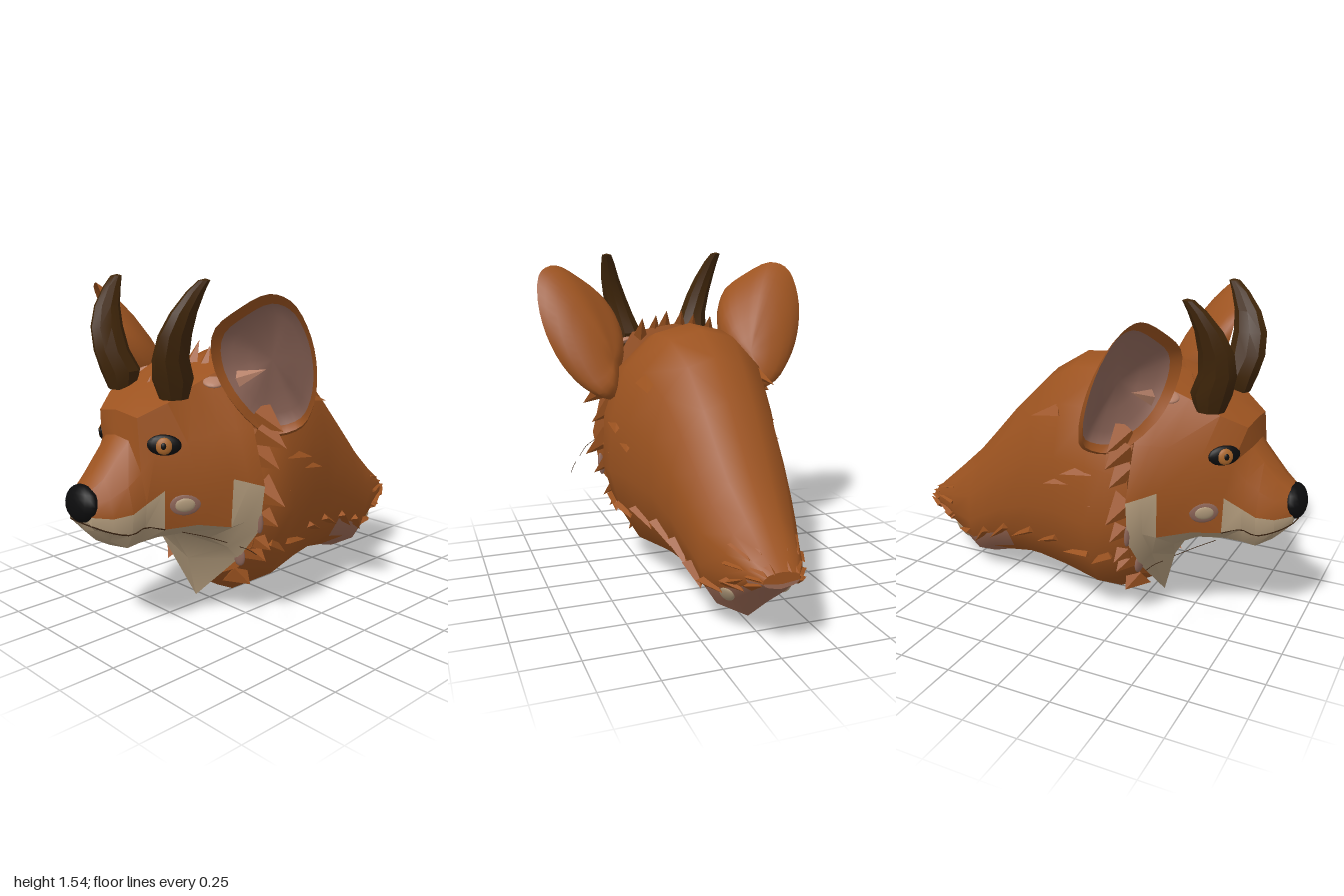
import * as THREE from 'three';
import { toCreasedNormals } from 'three/addons/utils/BufferGeometryUtils.js';

const V = (p) => new THREE.Vector3(...p);
const mat = (name, color) => {
  const m = new THREE.MeshStandardMaterial({ color });
  m.name = name;
  return m;
};

export function createModel() {
  const model = new THREE.Group();
  model.name = 'hornedFoxHead';
  const fur = mat('rust fur', 0x9c5320);
  const cream = mat('cream fur', 0xb29b7c);
  const pink = mat('ear pink', 0x90685b);
  const flesh = mat('raw flesh', 0x9c6a55);
  const light = mat('pale pink', 0xb58068);
  const horn = mat('horn brown', 0x40260a);
  const black = mat('black', 0x0c0c0d);
  const amber = mat('amber eye', 0xa8652a);
  const dark = mat('dark brown', 0x35200f);

  // Closed skin through rings of points; pick(row, column) gives the material
  function skin(name, rings, pick, crease) {
    const n = rings[0].length, pos = rings.flat(2), buckets = new Map();
    const same = (a, b) => [0, 1, 2].every((k) => pos[a * 3 + k] === pos[b * 3 + k]);
    for (let i = 0; i < rings.length - 1; i++) for (let j = 0; j < n; j++) {
      const a = i * n + j, b = i * n + (j + 1) % n, c = b + n, d = a + n;
      const m = pick(i, j);
      if (!buckets.has(m)) buckets.set(m, []);
      if (!same(a, b)) buckets.get(m).push(a, b, d);
      if (!same(c, d)) buckets.get(m).push(b, c, d);
    }
    const geo = new THREE.BufferGeometry(), index = [], mats = [];
    for (const [m, list] of buckets) {
      geo.addGroup(index.length, list.length, mats.length);
      mats.push(m);
      index.push(...list);
    }
    geo.setAttribute('position', new THREE.Float32BufferAttribute(pos, 3));
    geo.setIndex(index);
    const mesh = new THREE.Mesh(toCreasedNormals(geo, crease), mats);
    mesh.name = name;
    return mesh;
  }
  const flip = ([x, y, z]) => [-x, y, z];
  // Full ring from its left half, top centre to bottom centre
  const mirror = (half) => [...half, ...half.slice(1, -1).reverse().map(flip)];
  const halfColumn = (j, n) => (j < n - 1 ? j : 2 * n - 3 - j);
  const point = (p, n) => Array(n).fill(p);

  // Pointed, faceted lock of fur
  function tuft(parent, base, tip, width, m = fur) {
    const dir = V(tip).sub(V(base)), len = dir.length();
    const geo = new THREE.ConeGeometry(width, len, 4).translate(0, len / 2, 0).scale(1, 1, 0.5);
    const mesh = new THREE.Mesh(toCreasedNormals(geo, 0.1), m);
    mesh.quaternion.setFromUnitVectors(new THREE.Vector3(0, 1, 0), dir.normalize());
    mesh.position.set(...base);
    mesh.name = 'furTuft';
    parent.add(mesh);
  }
  function oval(parent, name, at, facing, size, m) {
    const mesh = new THREE.Mesh(new THREE.SphereGeometry(1, 16, 10), m);
    mesh.scale.set(...size);
    mesh.position.set(...at);
    mesh.quaternion.setFromUnitVectors(new THREE.Vector3(0, 0, 1), V(facing).normalize());
    mesh.name = name;
    parent.add(mesh);
  }
  function strand(parent, name, pts, r) {
    const curve = new THREE.CatmullRomCurve3(pts.map(V));
    const mesh = new THREE.Mesh(new THREE.TubeGeometry(curve, 24, r, 4), dark);
    mesh.name = name;
    parent.add(mesh);
  }

  // Neck: z, top, bottom, half width of each section
  const section = [[0, 1], [.42, .965], [.78, .84], [.97, .64], [1, .42], [.88, .26], [.65, .13], [0, 0]];
  const neckRings = [
    [.3, 1.1, .11, .39], [.2, 1.19, .05, .42], [.1, 1.22, 0, .41], [-.08, 1.205, .04, .375],
    [-.25, 1.1, .06, .315], [-.42, .93, .08, .28], [-.56, .77, .06, .25], [-.66, .66, .03, .225],
    [-.8, .53, .14, .17], [-.92, .42, .25, .125], [-.985, .36, .29, .08],
  ].map(([z, t, b, w]) => mirror(section.map(([fx, fy]) => [fx * w, b + fy * (t - b), z])));
  const neckPick = (i, j) => {
    const c = halfColumn(j, 8);
    return (c === 5 && i >= 6) || (c > 4 && i >= 7) || (c === 4 && i >= 10) ? flesh : fur;
  };
  model.add(skin('neck', [point([0, .7, .28], 14), ...neckRings, point([0, .31, -.985], 14)], neckPick, 0.7));

  // Head and throat: z, top, jaw, chin, chin z, brow width, cheek width, backward sweep
  const headHalves = [
    [.965, .69, .52, .51, .94, .05, .085, .003],
    [.9, .745, .47, .455, .89, .07, .145, .003],
    [.83, .83, .43, .415, .82, .075, .18, .006],
    [.775, .895, .44, .42, .76, .08, .19, .01],
    [.765, 1, .45, .43, .68, .13, .22, .055],
    [.66, 1.06, .46, .45, .58, .2, .31, .06],
    [.52, 1.12, .42, .4, .48, .2, .37, .06],
    [.43, 1.16, .36, .24, .385, .21, .41, .035],
    [.35, 1.19, .3, .04, .337, .22, .44, .022],
  ].map(([z, top, jaw, chin, chinZ, brow, cheek, sweep]) => {
    const y = (f) => jaw + f * (top - jaw);
    // Cheeks hang lower than the lip
    const lipY = y(sweep > .04 ? .09 : .18);
    return [
      [0, top, z], [brow, y(.965), z - .012], [cheek * .86, y(.69), z - sweep], [cheek, y(.41), z - sweep * 1.4],
      [cheek * .92, lipY, z - sweep * 1.6], [cheek * .65, jaw, chinZ - .008], [0, chin, chinZ],
    ];
  });
  const headPick = (i, j) => {
    const c = halfColumn(j, 7);
    if (c < 3 || i === headHalves.length) return fur;
    return c === 3 && i >= 5 && i <= 6 ? fur : cream;
  };
  const headRings = [point([0, .6, .97], 12), ...headHalves.map(mirror), point([0, .7, .2], 12)];
  model.add(skin('head', headRings, headPick, 0.5));

  // Nose and mouth line
  oval(model, 'nose', [0, .632, .95], [0, .15, 1], [.1, .08, .05], black);
  const lip = headHalves.slice(0, 5).map((half) => half[4]);
  strand(model, 'mouth', [...lip.map(flip).reverse(), ...lip], .003);

  // Ear: rim loop, cupped toward the front, the back flowing into the skull
  const rim = new THREE.CatmullRomCurve3([
    [.36, 1.02, .42], [.31, 1.18, .49], [.34, 1.33, .52], [.46, 1.43, .49], [.58, 1.49, .44], [.66, 1.46, .4],
    [.69, 1.34, .33], [.67, 1.18, .26], [.6, 1.02, .2], [.5, .91, .17], [.41, .88, .26],
  ].map(V), true).getPoints(36).slice(0, -1);
  const inner = { centre: V([.49, 1.23, .365]), push: V([-.04, -.02, -.075]) };
  const outer = { centre: V([.5, 1.17, .34]), push: V([-.14, -.12, -.165]) };
  const earRing = ({ centre, push }, s) => rim.map((p) =>
    centre.clone().lerp(p, s).addScaledVector(push, Math.sqrt(1 - s * s)).toArray());
  const earRings = [
    ...[0, .4, .7, .88, 1].map((s) => earRing(inner, s)),
    ...[.98, .9, .75, .5, .25, 0].map((s) => earRing(outer, s)),
  ];

  // Horn: x, y, z, half width, half depth
  const hornRings = [
    [.18, 1.05, .595, .06, .065], [.183, 1.13, .6, .083, .092], [.205, 1.22, .63, .067, .084], [.235, 1.32, .63, .057, .078],
    [.262, 1.41, .605, .046, .062], [.283, 1.49, .56, .034, .042], [.297, 1.535, .525, .024, .026],
  ].map(([x, y, z, rx, rz]) => Array.from({ length: 9 }, (_, k) => {
    const a = k / 9 * Math.PI * 2;
    return [x + rx * Math.sin(a), y, z + rz * Math.cos(a)];
  }));
  hornRings.unshift(point([.18, 1.04, .595], 9));
  hornRings.push(point([.298, 1.542, .52], 9));

  // Tips of the ruff locks (x, y), crown locks and flank locks (x, y, z)
  const ruff = [[.48, .9], [.5, .83], [.46, .73], [.495, .57], [.455, .47], [.41, .35], [.38, .29], [.28, .15]];
  const crown = [[.04, 1.26, .33], [.1, 1.24, .32], [.18, 1.23, .29], [.06, 1.18, .46], [.02, 1.12, .56]];
  const flank = [[.41, .73, -.02], [.385, .66, -.12], [.31, .95, -.22], [.41, .6, .12]];

  for (const side of [1, -1]) {
    const g = new THREE.Group();
    g.name = side > 0 ? 'leftSide' : 'rightSide';
    g.scale.x = side;
    g.add(skin('ear', earRings, (i) => (i < 3 ? pink : fur), 0.9));
    tuft(g, [.36, 1.13, .4], [.49, 1.18, .365], .035, light);
    oval(g, 'earRoot', [.24, 1.105, .43], [.3, 1, .2], [.045, .045, .015], light);
    g.add(skin('horn', hornRings, () => horn, 0.5));

    // Eye and cheek spot
    const look = [.76, .13, .63], cheekwards = [.81, -.12, .58];
    oval(g, 'eye', [.207, .868, .677], look, [.073, .044, .02], black);
    oval(g, 'iris', [.217, .866, .685], look, [.036, .036, .014], amber);
    oval(g, 'pupil', [.224, .868, .693], look, [.012, .015, .007], black);
    oval(g, 'cheekSpot', [.262, .61, .614], cheekwards, [.068, .05, .01], pink);
    oval(g, 'cheekSpotCentre', [.265, .61, .617], cheekwards, [.045, .033, .011], cream);

    // Pink edges of the bib
    oval(g, 'bibEdge', [.283, .31, .322], [.3, -.1, 1], [.03, .05, .012], pink);
    oval(g, 'bibEdge', [.4, .5, .315], [.4, -.1, 1], [.02, .06, .012], pink);

    for (const [x, y] of ruff) tuft(g, [x * .76, y + .07, .29], [x, y, .25], .075);
    for (const [x, y, z] of crown) tuft(g, [x, y - .14, z + .07], [x, y, z], .055);
    for (const [x, y, z] of flank) tuft(g, [x * .87, y + .04, z + .13], [x, y, z], .06);
    // Ragged lower edge of the mane
    for (let k = 1; k < 9; k++) {
      const p = neckRings[k][5], q = neckRings[k + 1][5];
      tuft(g, [p[0] * .94, p[1] + .03, p[2]], V(p).lerp(V([q[0] * 1.05, q[1] - .03, q[2]]), .8).toArray(), .06);
    }
    // Locks around the rear edge
    for (let c = 1; c < 5; c++) {
      const [a, b, d] = [8, 9, 10].map((k) => neckRings[k][c]);
      tuft(g, [a[0] * .85, a[1] - .04, a[2]], [b[0] * 1.1, b[1], b[2]], .045);
      tuft(g, [b[0] * .8, b[1] - .03, b[2]], [d[0] * 1.1, d[1], -1], .04);
    }
    oval(g, 'bone', [.14, .195, -.76], [.75, -.5, -.4], [.05, .035, .012], cream);
    // Broken whisker
    strand(g, 'whisker', [[.34, .53, .7], [.41, .51, .63], [.46, .48, .56]], .0016);
    strand(g, 'whisker', [[.49, .46, .52], [.51, .445, .49], [.53, .42, .46]], .0016);
    model.add(g);
  }
  return model;
}
